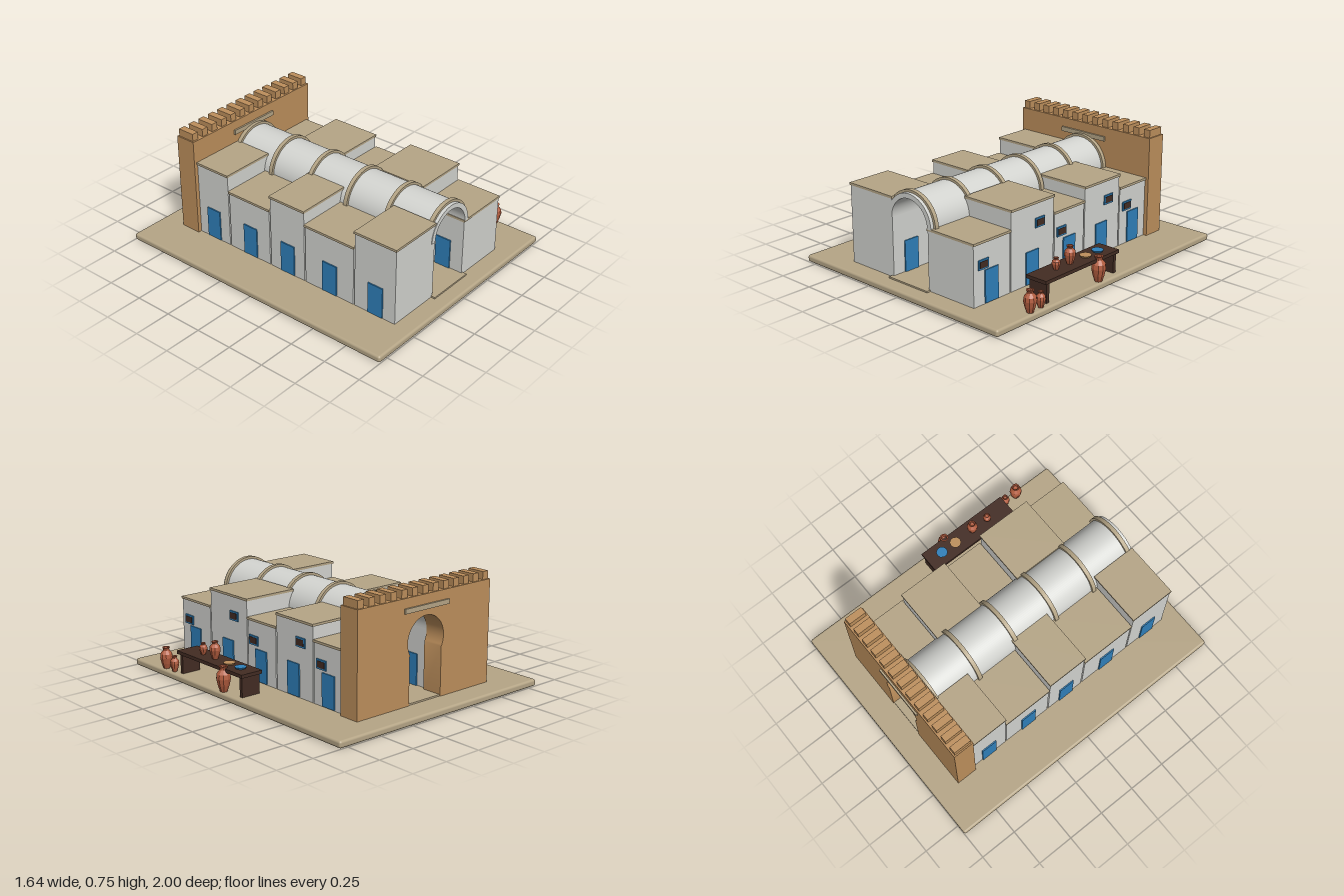
import * as THREE from 'three';
import { toCreasedNormals } from 'three/addons/utils/BufferGeometryUtils.js';
import { RoundedBoxGeometry } from 'three/addons/geometries/RoundedBoxGeometry.js';

const CX = -0.007;     // street centre line
const GROUND = 0.045;  // top of the base
const SPRING = 0.43;   // height where the vault starts

const paint = (name, color) => {
  const m = new THREE.MeshStandardMaterial({ color });
  m.name = name;
  return m;
};

export function createModel() {
  const model = new THREE.Group();
  model.name = 'marketStreet';
  const sand = paint('sand', 0xb5a586);
  const plaster = paint('plaster', 0xd3d4d0);
  const ochre = paint('ochre', 0xbd8f5c);
  const blue = paint('blue', 0x2f80ba);
  const wood = paint('dark wood', 0x432c23);
  const clay = paint('clay', 0xb25c3e);
  clay.flatShading = true;

  const add = (name, geo, mat, parent = model) => {
    const mesh = new THREE.Mesh(geo, mat);
    mesh.name = name;
    parent.add(mesh);
    return mesh;
  };
  // box given by its lower and upper limits on each axis
  const box = (name, mat, [x0, x1], [y0, y1], [z0, z1], parent) => {
    const w = Math.abs(x1 - x0), h = y1 - y0, d = Math.abs(z1 - z0);
    const mesh = add(name, new THREE.BoxGeometry(w, h, d), mat, parent);
    mesh.position.set((x0 + x1) / 2, (y0 + y1) / 2, (z0 + z1) / 2);
    return mesh;
  };
  const extrude = (shape, depth) => toCreasedNormals(
    new THREE.ExtrudeGeometry(shape, { depth, bevelEnabled: false, curveSegments: 24 }), 0.6);

  // Base and street paving
  add('base', new RoundedBoxGeometry(1.627, GROUND, 2, 3, 0.015), sand).position.set(CX, GROUND / 2, 0);
  box('streetPaving', sand, [CX - 0.163, CX + 0.163], [GROUND - 0.01, 0.055], [-0.83, 0.905]);

  // Houses: z limits shared by both sides, roof heights alternate
  const rows = [
    { z: [0.57, 0.88], left: 0.56, right: 0.436, door: 0.733, win: [0.80, 0.295] },
    { z: [0.19, 0.57], left: 0.45, right: 0.553, door: 0.387, win: [0.321, 0.418] },
    { z: [-0.09, 0.19], left: 0.54, right: 0.44, door: 0.055, win: [0.126, 0.305] },
    { z: [-0.432, -0.09], left: 0.44, right: 0.527, door: -0.252, win: [-0.318, 0.392] },
    { z: [-0.70, -0.432], left: 0.55, right: 0.436, door: -0.567, win: [-0.505, 0.30] },
  ];
  for (const side of [-1, 1]) {
    for (const row of rows) {
      const house = new THREE.Group();
      house.name = side > 0 ? 'houseLeft' : 'houseRight';
      model.add(house);
      const top = side > 0 ? row.right : row.left;
      const X = (a, b) => [CX + side * a, CX + side * b];
      const [z0, z1] = row.z;
      box('houseWalls', plaster, X(0.15, 0.515), [GROUND, top - 0.015], [z0 + 0.006, z1 - 0.004], house);
      box('roofSlab', sand, X(0.146, 0.521), [top - 0.015, top], [z0, z1], house);
      // street door and outer door
      const dz = [row.door - 0.054, row.door + 0.054];
      box('streetDoor', blue, X(0.142, 0.151), [0.05, 0.255], dz, house);
      box('outerDoor', blue, X(0.514, 0.523), [0.05, 0.255], dz, house);
      // framed window, on one side of the street only
      if (side > 0) {
        const [wz, wy] = row.win;
        box('windowFrame', blue, X(0.514, 0.523), [wy - 0.03, wy + 0.03], [wz - 0.041, wz + 0.041], house);
        box('windowShutter', wood, X(0.518, 0.526), [wy - 0.02, wy + 0.02], [wz - 0.031, wz + 0.031], house);
      }
    }
  }

  // Barrel vault over the street with raised ribs
  const halfRing = (inner, outer) => {
    const s = new THREE.Shape();
    s.absarc(0, 0, outer, 0, Math.PI, false);
    s.absarc(0, 0, inner, Math.PI, 0, true);
    s.closePath();
    return s;
  };
  add('vault', extrude(halfRing(0.15, 0.181), 1.58), plaster).position.set(CX, SPRING, -0.7);
  const ribGeo = extrude(halfRing(0.175, 0.197), 0.027);
  for (let i = 0; i < 6; i++) {
    add('vaultRib', ribGeo, sand).position.set(CX, SPRING, 0.831 - i * 0.304);
  }

  // Gate wall with a horseshoe opening
  const halfW = 0.54, jamb = 0.13, r = 0.147, cy = 0.425;
  const dip = Math.acos(jamb / r);
  const gate = new THREE.Shape();
  gate.moveTo(-halfW, GROUND);
  gate.lineTo(-jamb, GROUND);
  gate.lineTo(-jamb, cy - r * Math.sin(dip));
  gate.absarc(0, cy, r, Math.PI + dip, -dip, true);
  gate.lineTo(jamb, GROUND);
  gate.lineTo(halfW, GROUND);
  gate.lineTo(halfW, 0.70);
  gate.lineTo(-halfW, 0.70);
  gate.closePath();
  add('gateWall', extrude(gate, 0.14), ochre).position.set(CX, 0, -0.835);
  box('gatePlaque', sand, [CX - 0.18, CX + 0.18], [0.61, 0.64], [-0.847, -0.683]);
  for (let i = 0; i < 13; i++) {
    const x = CX + (i - 6) * 0.0847;
    box('battlement', ochre, [x - 0.023, x + 0.023], [0.70, 0.75], [-0.825, -0.706]);
  }

  // Market table on two board legs
  box('tableTop', wood, [0.624, 0.778], [0.17, 0.192], [-0.095, 0.567]);
  for (const z of [-0.07, 0.537]) {
    box('tableLeg', wood, [0.636, 0.766], [GROUND, 0.172], [z - 0.012, z + 0.012]);
  }
  for (const [mat, z] of [[blue, 0.015], [ochre, 0.127]]) {
    add('dish', new THREE.CylinderGeometry(0.038, 0.03, 0.012, 10), mat).position.set(0.701, 0.198, z);
  }

  // Clay jars: unit profile scaled to radius and height
  const profile = [[0, 0], [0.5, 0], [0.8, 0.25], [1, 0.52], [0.92, 0.7], [0.5, 0.86], [0.48, 0.92],
    [0.62, 1], [0.42, 1], [0.35, 0.9], [0, 0.88]].map(([x, y]) => new THREE.Vector2(x, y));
  const jarGeo = new THREE.LatheGeometry(profile, 10);
  const jars = [ // x, y, z, radius, height
    [0.701, 0.192, 0.27, 0.036, 0.112],
    [0.701, 0.192, 0.393, 0.027, 0.073],
    [0.773, GROUND, 0.695, 0.041, 0.138],
    [0.773, GROUND, 0.605, 0.03, 0.1],
    [0.774, GROUND, 0.09, 0.046, 0.16],
  ];
  for (const [x, y, z, rad, h] of jars) {
    const jar = add('clayJar', jarGeo, clay);
    jar.position.set(x, y, z);
    jar.scale.set(rad, h, rad);
  }
  return model;
}
